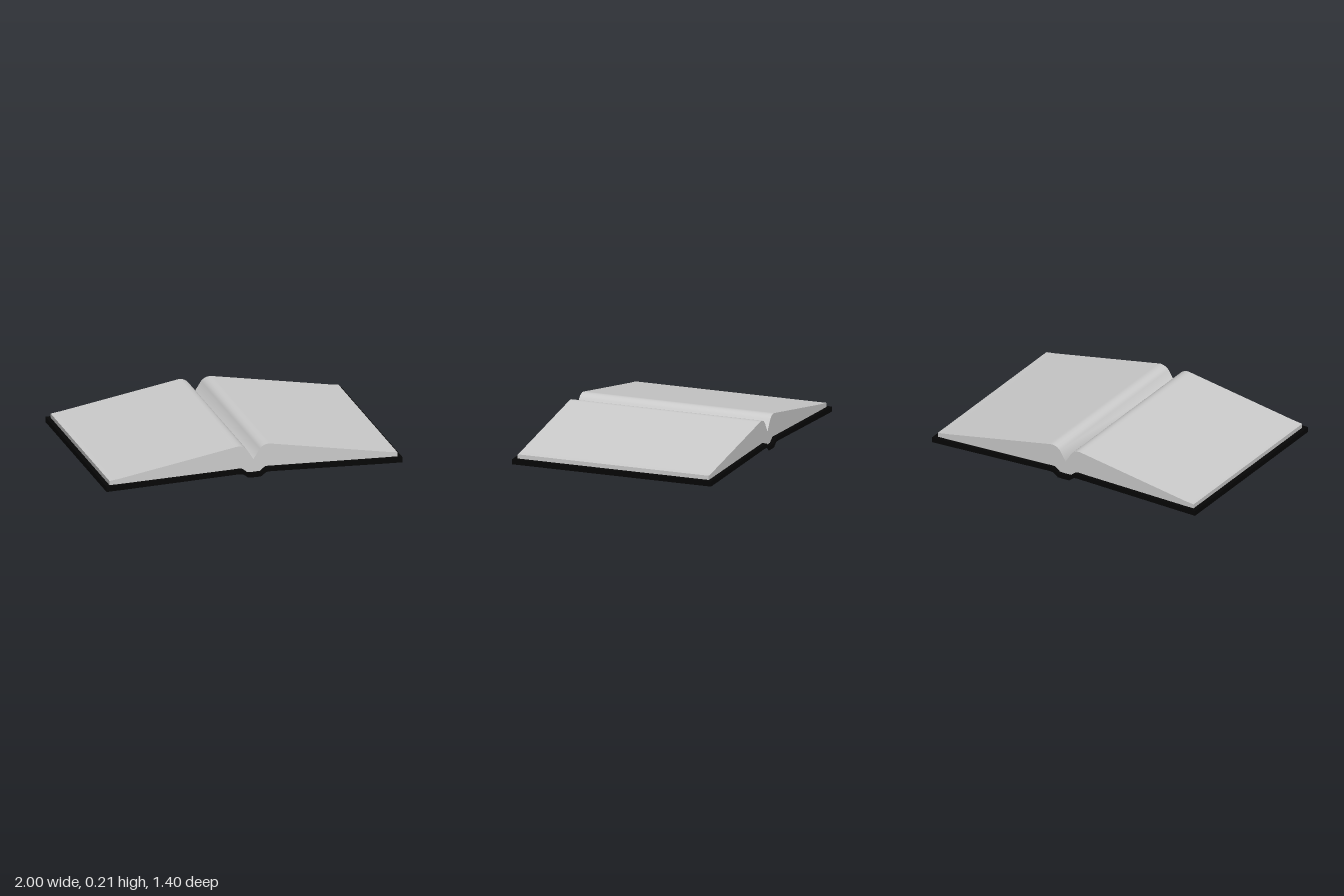
import * as THREE from 'three';

const paper = new THREE.MeshStandardMaterial({ name: 'paper grey', color: 0xcccccc, side: THREE.DoubleSide });
const board = new THREE.MeshStandardMaterial({ name: 'cover black', color: 0x060606, side: THREE.DoubleSide });

// Half cross-section from gutter to outer edge: x, cover underside, cover top, page top
const half = [
  [0, 0, 0.028, 0.115],
  [0.043, 0.001, 0.03, 0.183],
  [0.06, 0.014, 0.045, 0.199],
  [0.08, 0.028, 0.058, 0.208],
  [0.1, 0.03, 0.06, 0.212],
  [0.12, 0.03, 0.059, 0.21],
  [0.14, 0.029, 0.058, 0.206],
  [0.9, 0.003, 0.036, 0.073],
  [0.972, 0.001, 0.035, 0.063],
  [1, 0, 0.034, 0.06],
];
const section = [...half.slice(1).reverse().map(([x, ...ys]) => [-x, ...ys]), ...half];
const pageSection = section.slice(1, -1);
const UNDER = 1, COVER = 2, PAGE = 3;
const PAGE_Z = 0.672, COVER_Z = 0.7;

// Surface between two rows of points
function strip(name, material, rowA, rowB) {
  const n = rowA.length, index = [];
  for (let i = 0; i < n - 1; i++) index.push(i, i + 1, n + i + 1, i, n + i + 1, n + i);
  const geometry = new THREE.BufferGeometry();
  geometry.setAttribute('position', new THREE.Float32BufferAttribute([...rowA, ...rowB].flat(), 3));
  geometry.setIndex(index);
  geometry.computeVertexNormals();
  const mesh = new THREE.Mesh(geometry, material);
  mesh.name = name;
  return mesh;
}

// One height column of a cross-section, placed at depth z
const row = (rows, column, z) => rows.map((r) => [r[0], r[column], z]);

// Upright walls around a cross-section, between two of its height columns
function walls(group, name, material, rows, low, high, z) {
  group.add(strip(name + 'Front', material, row(rows, low, z), row(rows, high, z)));
  group.add(strip(name + 'Back', material, row(rows, high, -z), row(rows, low, -z)));
  for (const s of [1, -1]) {
    const r = s > 0 ? rows[rows.length - 1] : rows[0];
    const edge = (c) => [[r[0], r[c], s * z], [r[0], r[c], -s * z]];
    group.add(strip(name + (s > 0 ? 'Left' : 'Right'), material, edge(low), edge(high)));
  }
}

export function createModel() {
  const book = new THREE.Group();
  book.name = 'openBook';

  // Page block: curved top with a gutter, and cut edges
  const pages = new THREE.Group();
  pages.name = 'pages';
  pages.add(strip('pageTop', paper, row(pageSection, PAGE, PAGE_Z), row(pageSection, PAGE, -PAGE_Z)));
  walls(pages, 'pageEdge', paper, pageSection, COVER, PAGE, PAGE_Z);

  // Cover: outer edges and the rim showing around the pages, open underneath
  const cover = new THREE.Group();
  cover.name = 'cover';
  walls(cover, 'coverEdge', board, section, UNDER, COVER, COVER_Z);
  cover.add(strip('rimFront', board, row(section, COVER, COVER_Z), row(section, COVER, PAGE_Z)));
  cover.add(strip('rimBack', board, row(section, COVER, -PAGE_Z), row(section, COVER, -COVER_Z)));
  for (const s of [1, -1]) {
    const [inner, outer] = half.slice(-2);
    const line = (r) => [[s * r[0], r[COVER], s * PAGE_Z], [s * r[0], r[COVER], -s * PAGE_Z]];
    cover.add(strip(s > 0 ? 'rimLeft' : 'rimRight', board, line(outer), line(inner)));
  }

  book.add(pages, cover);
  return book;
}
